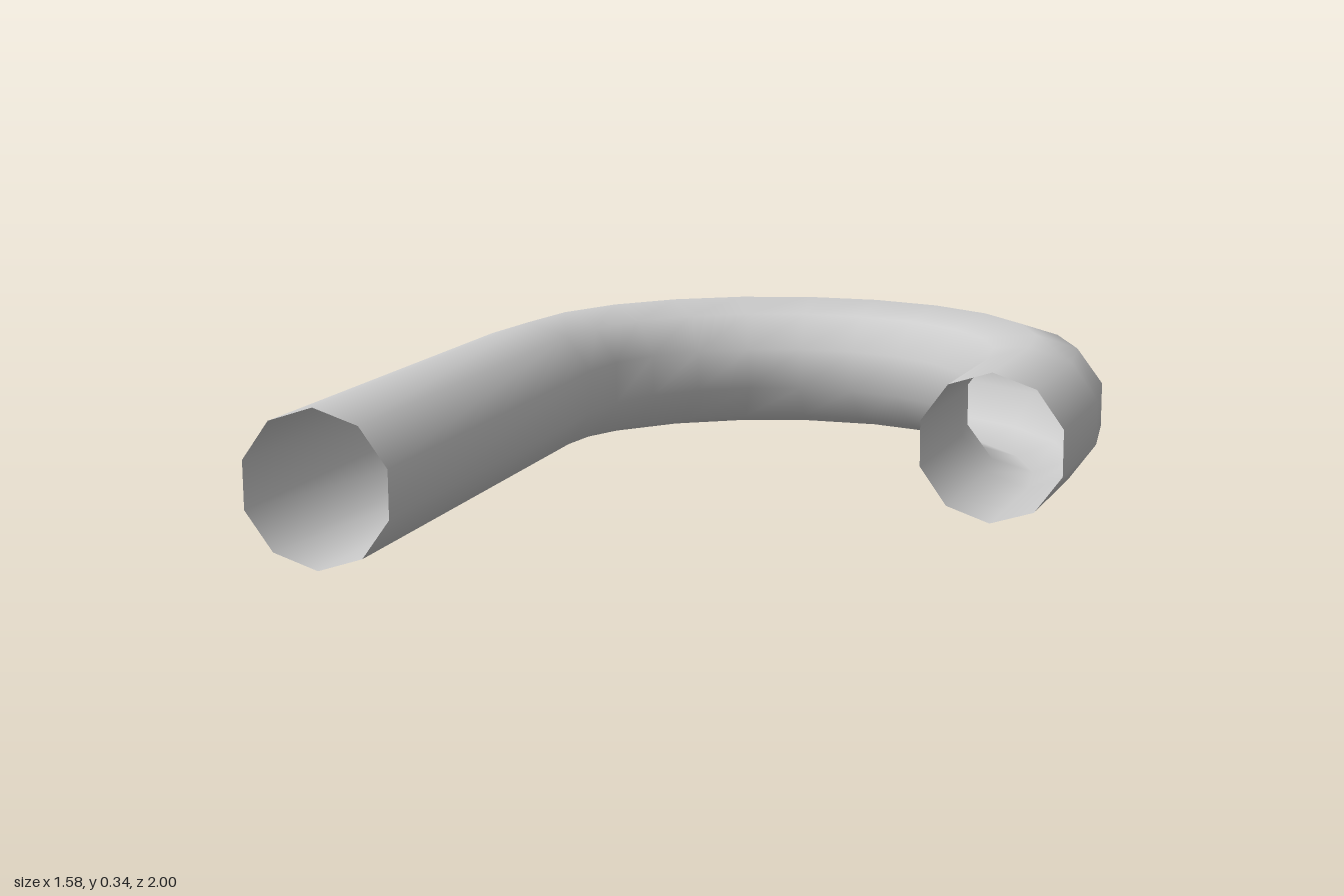
import * as THREE from 'three';

const SIDES = 10, TUBE = 0.169, BEND = 0.632, CENTRE_Z = -0.215;
const END = THREE.MathUtils.degToRad(91.9);

// Sweeps an open ten-sided tube through stations [bend angle, distance along the tangent]
function sweep(name, stations, material) {
  const positions = [], normals = [], index = [];
  stations.forEach(([a, d], i) => {
    const out = new THREE.Vector3(Math.sin(a), 0, -Math.cos(a));
    const centre = out.clone().multiplyScalar(BEND);
    centre.add(new THREE.Vector3(d * Math.cos(a), TUBE, CENTRE_Z + d * Math.sin(a)));
    for (let j = 0; j < SIDES; j++) {
      const t = Math.PI / 2 + (j / SIDES) * Math.PI * 2;
      const n = out.clone().multiplyScalar(Math.cos(t)).setY(Math.sin(t));
      normals.push(n.x, n.y, n.z);
      positions.push(...n.multiplyScalar(TUBE).add(centre).toArray());
      if (i > 0) {
        const k = (j + 1) % SIDES, p = (i - 1) * SIDES, q = i * SIDES;
        index.push(p + j, p + k, q + j, p + k, q + k, q + j);
      }
    }
  });
  const geometry = new THREE.BufferGeometry();
  geometry.setAttribute('position', new THREE.Float32BufferAttribute(positions, 3));
  geometry.setAttribute('normal', new THREE.Float32BufferAttribute(normals, 3));
  geometry.setIndex(index);
  const mesh = new THREE.Mesh(geometry, material);
  mesh.name = name;
  return mesh;
}

export function createModel() {
  const group = new THREE.Group();
  group.name = 'hookPipe';
  const material = new THREE.MeshStandardMaterial({ color: 0xcccccc, side: THREE.DoubleSide });

  // Half-round bend in eleven segments
  const steps = 11;
  const bend = Array.from({ length: steps + 1 }, (_, i) => [-END + (2 * END * i) / steps, 0]);
  group.add(sweep('bend', bend, material));

  // Straight legs, leaning slightly inwards, open at the ends
  group.add(sweep('longLeg', [[-END, -1.19], [-END, 0]], material));
  group.add(sweep('shortLeg', [[END, 0], [END, 0.37]], material));
  return group;
}
